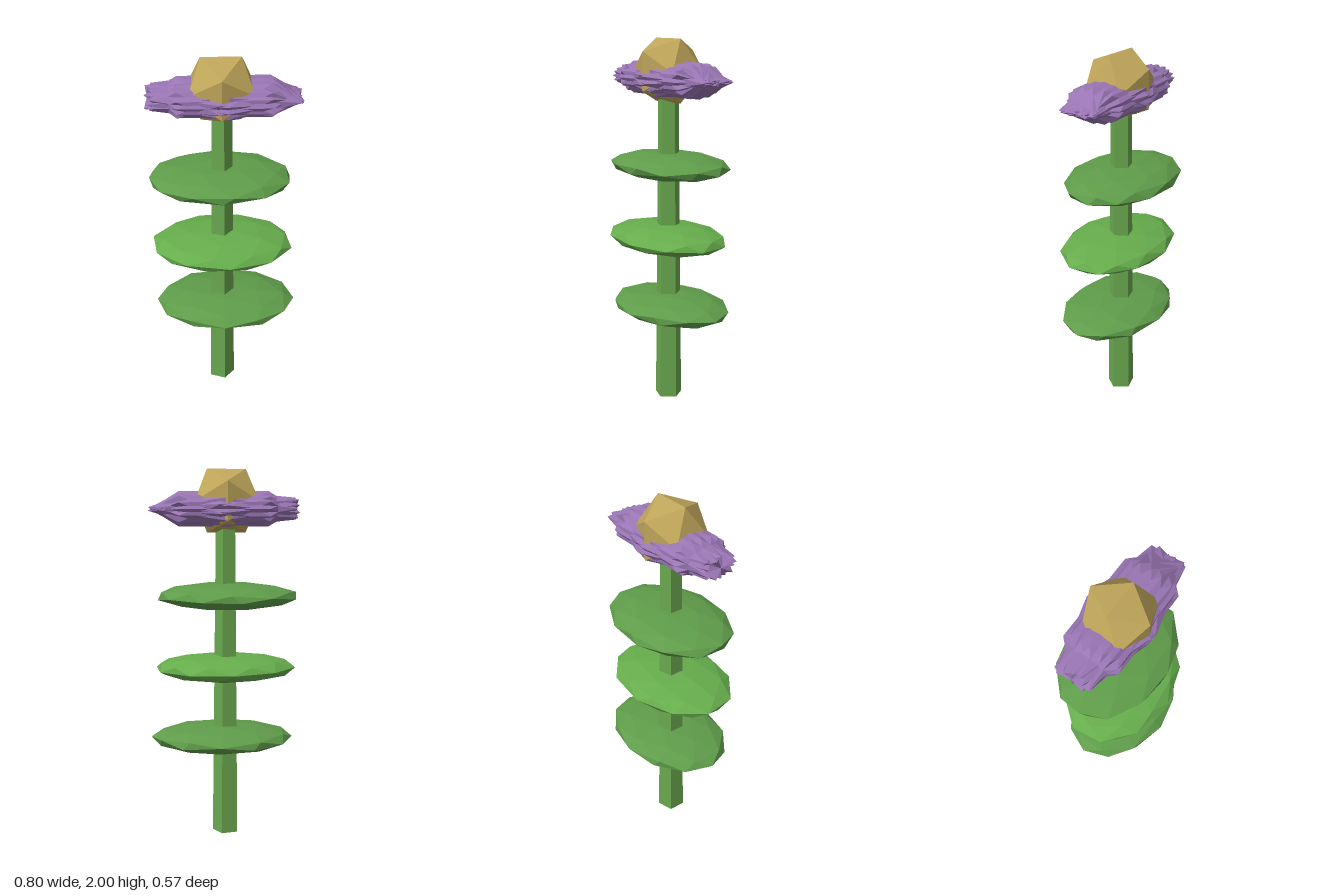
import * as THREE from 'three';

const mat = (color) => new THREE.MeshStandardMaterial({ color, flatShading: true });

function add(group, name, geometry, material, x, y, z) {
  const mesh = new THREE.Mesh(geometry, material);
  mesh.name = name;
  mesh.position.set(x, y, z);
  group.add(mesh);
  return mesh;
}

export function createModel() {
  const plant = new THREE.Group();
  plant.name = 'flowerPlant';

  // Five-sided tapering stem
  const stem = new THREE.CylinderGeometry(0.057, 0.076, 1.75, 5);
  stem.rotateY(0.26);
  add(plant, 'stem', stem, mat(0x6aa84f), -0.015, 0.875, 0);

  // Three flattened leaf discs, each turned differently before flattening
  const leaves = [
    { y: 0.54, turn: [0.3, 0.5, 0.2], x: 0.01, z: 0.005, color: 0x5f9c4a },
    { y: 0.93, turn: [0.1, 1.3, 0.5], x: -0.01, z: 0.015, color: 0x66ad4c },
    { y: 1.325, turn: [0.6, 2.2, 0.1], x: -0.02, z: -0.01, color: 0x5f9c4a },
  ];
  leaves.forEach((leaf, i) => {
    const geo = new THREE.IcosahedronGeometry(1, 1);
    geo.rotateX(leaf.turn[0]).rotateZ(leaf.turn[2]).rotateY(leaf.turn[1]);
    geo.scale(0.39, 0.073, 0.28);
    add(plant, 'leaf' + (i + 1), geo, mat(leaf.color), leaf.x, leaf.y, leaf.z);
  });

  // Spiky bloom: interlocking icosahedra spun about the long axis
  const bloom = new THREE.Group();
  bloom.name = 'bloom';
  bloom.position.set(0, 1.79, 0);
  plant.add(bloom);
  const purple = mat(0x9975b3);
  const count = 8;
  for (let i = 0; i < count; i++) {
    const geo = new THREE.IcosahedronGeometry(1, 0);
    geo.rotateY(0.06 * Math.sin(i * 2.4));
    geo.rotateX((i * Math.PI) / count);
    geo.scale(0.455, 0.11, 0.188);
    // The +x end narrows vertically to a wedge
    const p = geo.attributes.position;
    for (let k = 0; k < p.count; k++) {
      const t = THREE.MathUtils.clamp((p.getX(k) - 0.24) / 0.15, 0, 1);
      p.setY(k, p.getY(k) * (1 - 0.75 * t));
    }
    geo.computeVertexNormals();
    add(bloom, 'petalCluster' + (i + 1), geo, purple, 0, 0, 0);
  }

  // Golden flower centre
  add(plant, 'flowerCentre', new THREE.IcosahedronGeometry(0.197, 0), mat(0xbfa55a), -0.014, 1.832, 0.003);

  return plant;
}
